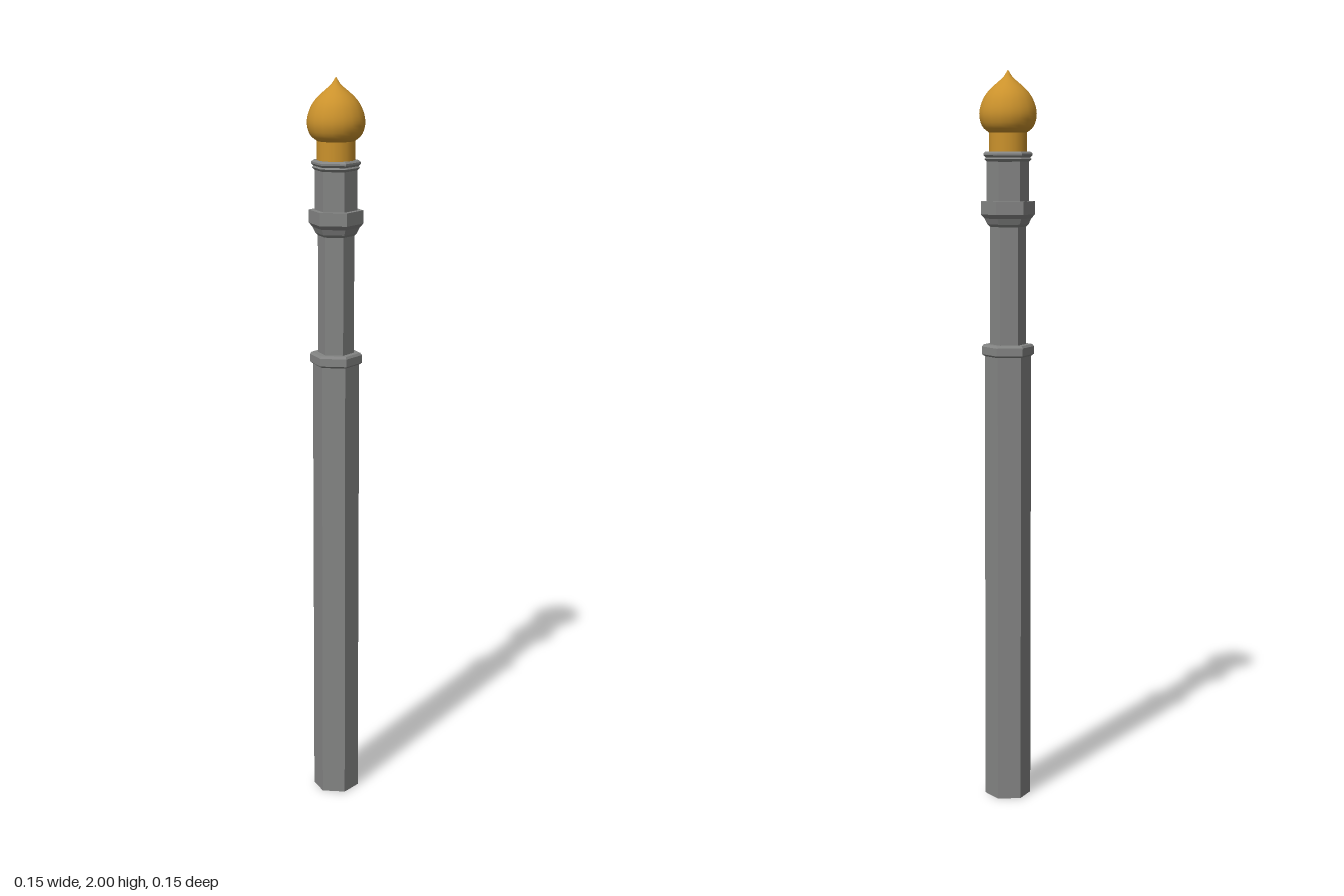
import * as THREE from 'three';

const grey = new THREE.MeshStandardMaterial({ color: 0x848584, flatShading: true, side: THREE.DoubleSide });
const gold = new THREE.MeshStandardMaterial({ color: 0xcb922c });

// Revolve a [radius, height] profile, listed from bottom to top
function turned(name, profile, sides, material, phase = 0) {
  const points = profile.map(([r, y]) => new THREE.Vector2(r, y));
  const mesh = new THREE.Mesh(new THREE.LatheGeometry(points, sides, phase), material);
  mesh.name = name;
  return mesh;
}

export function createModel() {
  const model = new THREE.Group();
  model.name = 'spirePost';

  // Hexagonal pillar sections, with corners on the x axis; the foot is open
  const sections = {
    lowerShaft: [[0.063, 0], [0.063, 1.24]],
    lowerCollar: [[0.062, 1.235], [0.071, 1.241], [0.071, 1.262], [0.066, 1.268], [0, 1.268]],
    middleShaft: [[0.049, 1.265], [0.049, 1.59]],
    upperCollar: [[0.049, 1.585], [0.056, 1.592], [0.063, 1.607], [0.073, 1.618], [0.073, 1.653], [0, 1.653]],
    upperShaft: [[0.057, 1.65], [0.057, 1.77]],
    cap: [[0.057, 1.758], [0.064, 1.765], [0.06, 1.769], [0.066, 1.775], [0.066, 1.78], [0.06, 1.785], [0, 1.785]],
  };
  for (const [name, profile] of Object.entries(sections))
    model.add(turned(name, profile, 6, grey, Math.PI / 2));

  // Round neck under the finial
  model.add(turned('finialNeck', [[0.051, 1.784], [0.051, 1.837]], 18, gold));

  // Onion finial: round belly that sweeps in to a fine point
  const belly = new THREE.SplineCurve([
    [0.051, 1.835], [0.067, 1.848], [0.075, 1.867], [0.077, 1.886], [0.073, 1.907],
    [0.063, 1.93], [0.048, 1.949], [0.03, 1.965], [0.014, 1.979], [0.006, 1.99], [0, 2],
  ].map(([r, y]) => new THREE.Vector2(r, y)));
  const profile = belly.getPoints(24).map(p => [Math.max(p.x, 0), p.y]);
  model.add(turned('onionFinial', [[0, 1.835], ...profile], 18, gold));

  return model;
}
